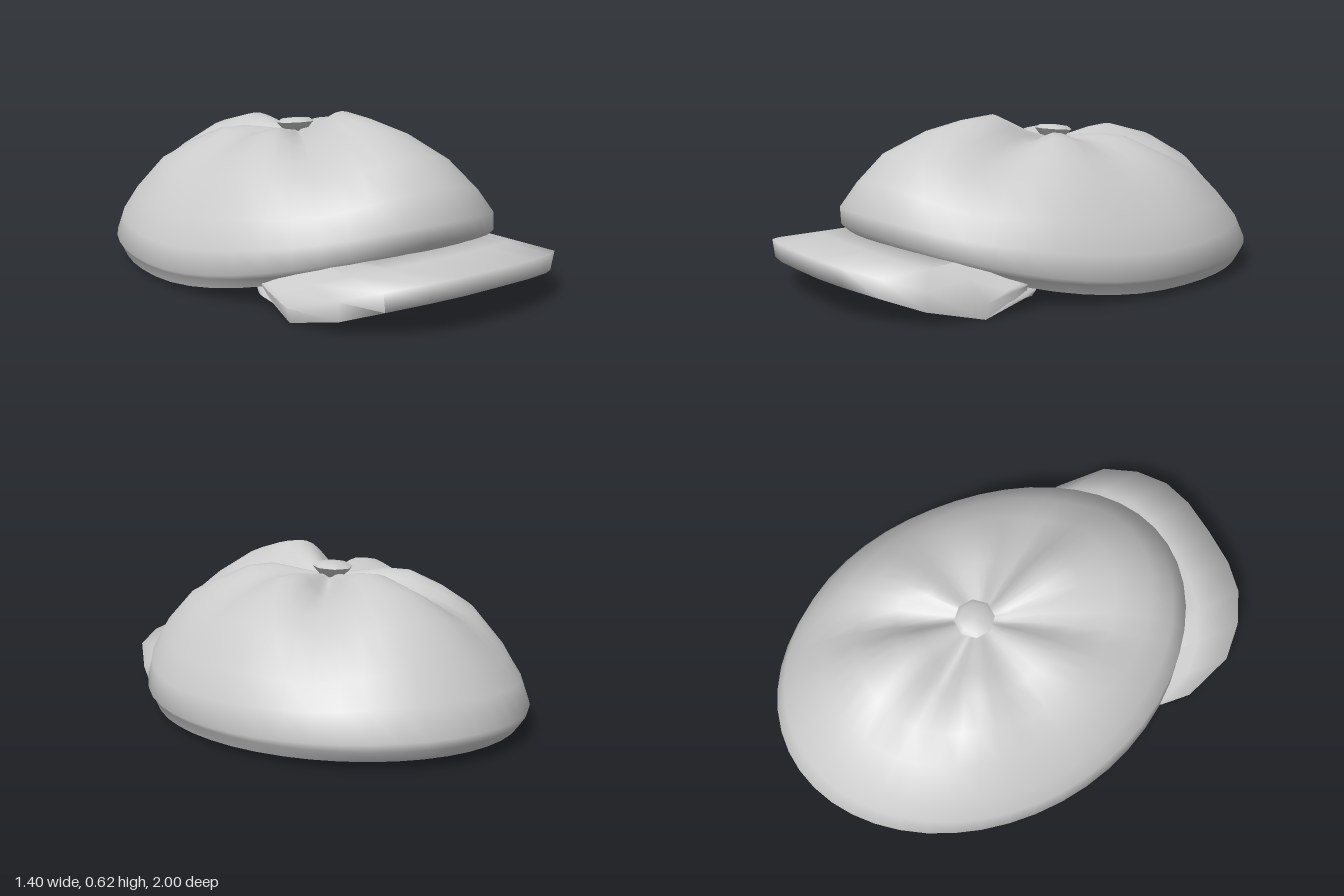
import * as THREE from 'three';
import { toCreasedNormals } from 'three/addons/utils/BufferGeometryUtils.js';

const material = new THREE.MeshStandardMaterial({ color: 0xcccccc, side: THREE.DoubleSide });

// Skin a grid of points: rows[i][j], each a [x, y, z]
function skin(rows, crease) {
  const n = rows[0].length;
  const index = [];
  for (let i = 0; i < rows.length - 1; i++) {
    for (let j = 0; j < n - 1; j++) {
      const a = i * n + j, b = a + n, c = a + 1, d = b + 1;
      index.push(a, b, d, a, d, c);
    }
  }
  const geometry = new THREE.BufferGeometry();
  geometry.setAttribute('position', new THREE.Float32BufferAttribute(rows.flat(2), 3));
  geometry.setIndex(index);
  return toCreasedNormals(geometry, crease);
}

function addMesh(group, name, geometry) {
  const mesh = new THREE.Mesh(geometry, material);
  mesh.name = name;
  group.add(mesh);
  return mesh;
}

// Crown profiles from button to opening: [share of rim radius, height]
const FRONT = [[0, .52], [.13, .55], [.32, .625], [.46, .61], [.63, .575], [.81, .5],
  [.92, .4], [1, .3], [.99, .235], [.95, .2], [.91, .175], [.86, .17]];
const SIDE = [[0, .52], [.13, .535], [.3, .555], [.43, .545], [.6, .48], [.74, .41],
  [.9, .265], [.97, .165], [1, .075], [.985, .062], [.96, .02], [.87, .035]];
const BACK = [[0, .52], [.13, .53], [.25, .55], [.36, .558], [.55, .515], [.72, .43],
  [.85, .3], [.94, .2], [1, .1], [.995, .07], [.955, .03], [.87, .045]];

// Seam folds between the six panels: depth per profile row, and [degrees from front, strength]
const FOLD = [0, .03, .08, .085, .065, .045, .022, .005, 0, 0, 0, 0];
const SEAMS = [[37, 1], [90, .4], [142, 1]];

function foldAt(angle) {
  const degrees = THREE.MathUtils.radToDeg(Math.acos(Math.cos(angle)));
  return SEAMS.reduce((sum, [at, strength]) =>
    sum + strength * Math.exp(-(((degrees - at) / 17) ** 2)), 0);
}

function crownPoint(row, angle, inset, drop) {
  const c = Math.cos(angle), s = Math.sin(angle);
  const end = c > 0 ? FRONT : BACK;
  const mix = k => end[row][k] * c * c + SIDE[row][k] * s * s;
  const r = mix(0) * inset;
  const y = mix(1) - FOLD[row] * foldAt(angle) - drop;
  return [0.7 * r * s, y, -0.115 + 0.885 * r * c];
}

function crownGeometry() {
  const segments = 48, rows = [];
  const ring = (row, inset, drop) => Array.from({ length: segments + 1 },
    (_, j) => crownPoint(row, (j % segments) / segments * Math.PI * 2, inset, drop));
  for (let i = 0; i < FRONT.length; i++) rows.push(ring(i, 1, 0));
  // Lining: back up to the top, just inside the outer cloth
  for (let i = 7; i >= 0; i--) rows.push(ring(i, 0.95, 0.015));
  return skin(rows, 1);
}

// Brim half, centre to end: outer x, z, top y, bottom y, then inner x, z, top y
const BRIM = [
  [0, 1, .19, .125, 0, .63, .205],
  [.16, .995, .189, .123, .14, .62, .203],
  [.29, .965, .18, .114, .27, .58, .19],
  [.41, .89, .158, .088, .38, .51, .17],
  [.51, .78, .12, .048, .46, .43, .14],
  [.56, .58, .056, 0, .51, .37, .11],
  [.545, .45, .08, .04, .52, .35, .1],
  [.53, .39, .085, .06, .52, .35, .095],
];

function brimGeometry() {
  const mirrored = BRIM.slice(1).reverse().map(p => p.map((v, k) => (k === 0 || k === 4 ? -v : v)));
  const stations = [...mirrored, ...BRIM];
  // Closed cross-section: inner top, middle, outer edge, underside
  const sections = stations.map(([x, z, top, bottom, ix, iz, iy]) => {
    const mx = (x + ix) / 2, mz = (z + iz) / 2, my = (top + iy) / 2;
    return [[ix, iy, iz], [mx, my, mz], [x, top, z], [x * .97, bottom, z - .005],
      [mx, my - .045, mz], [ix, iy - .035, iz], [ix, iy, iz]];
  });
  const rows = sections[0].map((_, i) => sections.map(s => s[i]));
  return skin(rows, 1.7);
}

export function createModel() {
  const group = new THREE.Group();
  group.name = 'flatCap';
  addMesh(group, 'crown', crownGeometry());
  addMesh(group, 'brim', brimGeometry());

  // Eight-sided covered button where the panels meet
  const profile = [[0, -.03], [.04, -.03], [.078, .012], [.06, .025], [0, .03]]
    .map(([x, y]) => new THREE.Vector2(x, y));
  const button = addMesh(group, 'button',
    toCreasedNormals(new THREE.LatheGeometry(profile, 8, Math.PI / 8), 1.2));
  button.position.set(0, 0.54, -0.13);
  button.rotation.x = -0.08;
  return group;
}
